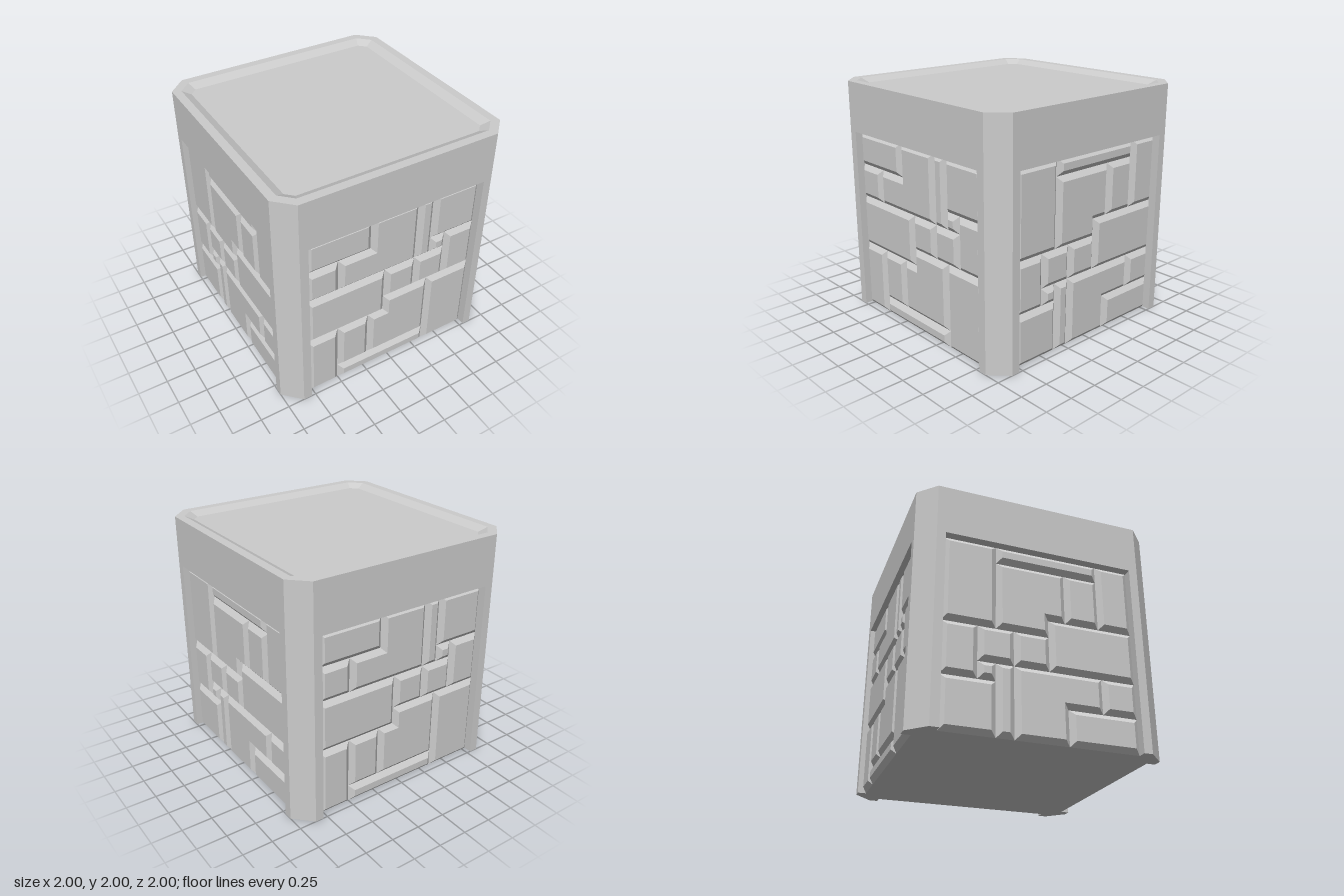
import * as THREE from 'three';

const U = 1 / 14;        // horizontal grid unit
const V = 1.58 / 22;     // vertical grid unit
const OPENING_TOP = 1.58;
const BACK = 13 * U;     // plane behind the stones
const BEVEL = 0.043, RELIEF = 0.036, RECESS = 0.036;

const material = new THREE.MeshStandardMaterial({ color: 0xcccccc, flatShading: true });

function makeMesh(name, geometry) {
  const mesh = new THREE.Mesh(geometry, material);
  mesh.name = name;
  return mesh;
}

function fromTriangles(corners) {
  const geometry = new THREE.BufferGeometry().setFromPoints(corners);
  geometry.computeVertexNormals();
  return geometry;
}

// Stone outlines in grid units, counter-clockwise
const rect = (x0, y0, x1, y1) => [[x0, y0], [x1, y0], [x1, y1], [x0, y1]];
const STONES = [
  rect(-11, 18, -3, 22),
  rect(-11, 14, -7, 18),
  [[-7, 14], [3, 14], [3, 22], [-3, 22], [-3, 18], [-7, 18]],
  rect(3, 14, 5, 22),
  rect(5, 16, 11, 22),
  rect(5, 14, 7, 16),
  rect(7, 10, 11, 16),
  rect(-11, 8, -1, 14),
  rect(-1, 10, 3, 14),
  rect(3, 10, 7, 14),
  [[-3, 2], [5, 2], [5, 10], [-1, 10], [-1, 8], [-3, 8]],
  rect(5, 0, 11, 10),
  rect(-11, 0, -7, 8),
  rect(-7, 2, -3, 8),
  rect(-7, 0, 5, 2),
];

// One stone: sloped border around a flat, inset face
function stoneGeometry(outline, flipped) {
  const base = outline.map(([x, y]) => flipped
    ? new THREE.Vector2(-x * U, (22 - y) * V)
    : new THREE.Vector2(x * U, y * V));
  const n = base.length;
  const inward = base.map((p, i) => {
    const d = base[(i + 1) % n].clone().sub(p).normalize();
    return new THREE.Vector2(-d.y, d.x);
  });
  const face = base.map((p, i) => p.clone()
    .addScaledVector(inward[i], BEVEL)
    .addScaledVector(inward[(i + n - 1) % n], BEVEL));
  const low = base.map(p => new THREE.Vector3(p.x, p.y, BACK));
  const high = face.map(p => new THREE.Vector3(p.x, p.y, BACK + RELIEF));
  const corners = [];
  for (let i = 0; i < n; i++) {
    const j = (i + 1) % n;
    corners.push(low[i], low[j], high[j], low[i], high[j], high[i]);
  }
  for (const t of THREE.ShapeUtils.triangulateShape(face, [])) corners.push(...t.map(k => high[k]));
  return fromTriangles(corners);
}

// Core with four chamfered corner posts, notched on every side
function bodyGeometry() {
  const a = 11 * U, b = 12 * U;
  const quarter = [[BACK, a], [1, a], [1, b], [b, 1], [a, 1], [a, BACK]];
  const points = [];
  for (let q = 0; q < 4; q++) {
    for (const [x, y] of quarter) {
      points.push(new THREE.Vector2(x, y).rotateAround(new THREE.Vector2(), q * Math.PI / 2));
    }
  }
  const geometry = new THREE.ExtrudeGeometry(new THREE.Shape(points), { depth: OPENING_TOP, bevelEnabled: false });
  return geometry.rotateX(-Math.PI / 2);
}

// Chamfered square loop, counter-clockwise seen from above
function octagon(h, c, y) {
  const k = h - c;
  return [[h, k], [h, -k], [k, -h], [-k, -h], [-h, -k], [-h, k], [-k, h], [k, h]]
    .map(([x, z]) => new THREE.Vector3(x, y, z));
}

// Top slab with a shallow, sloped recess
function capGeometry() {
  const loops = [
    octagon(0, 0, OPENING_TOP),
    octagon(1, 2 * U, OPENING_TOP),
    octagon(1, 2 * U, 2),
    octagon(13 * U, 0.1, 2),
    octagon(12 * U, 0.06, 2 - RECESS),
    octagon(0, 0, 2 - RECESS),
  ];
  const corners = [];
  for (let r = 0; r < loops.length - 1; r++) {
    const p = loops[r], q = loops[r + 1];
    for (let i = 0; i < 8; i++) {
      const j = (i + 1) % 8;
      if (r > 0) corners.push(p[i], p[j], q[j]);
      if (r < loops.length - 2) corners.push(p[i], q[j], q[i]);
    }
  }
  return fromTriangles(corners);
}

export function createModel() {
  const model = new THREE.Group();
  model.name = 'stoneBlock';
  model.add(makeMesh('bodyWithCornerPosts', bodyGeometry()));
  model.add(makeMesh('topSlab', capGeometry()));

  // Stone panels; the two sides use the pattern upside down
  ['front', 'left', 'back', 'right'].forEach((side, i) => {
    const panel = new THREE.Group();
    panel.name = side + 'StonePanel';
    STONES.forEach((outline, k) => panel.add(makeMesh('stone' + (k + 1), stoneGeometry(outline, i % 2 === 1))));
    panel.rotation.y = i * Math.PI / 2;
    model.add(panel);
  });
  return model;
}
